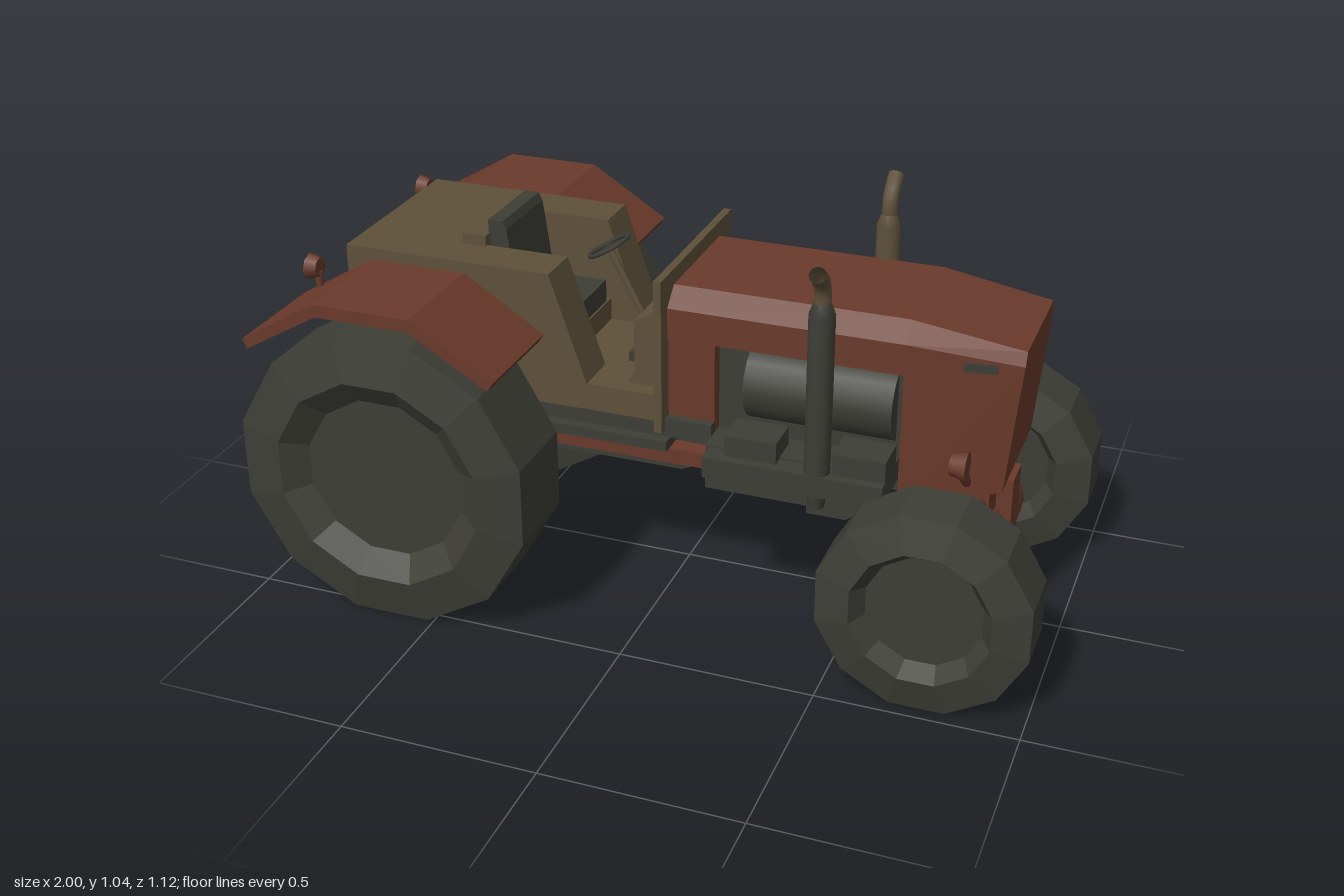
import * as THREE from 'three';

const red = new THREE.MeshStandardMaterial({ color: 0x6a3a2b });
const tan = new THREE.MeshStandardMaterial({ color: 0x5e513a });
const dark = new THREE.MeshStandardMaterial({ color: 0x3d3e36 });
red.name = 'rust red paint'; tan.name = 'olive tan paint'; dark.name = 'dark rubber and iron';
for (const m of [red, tan, dark]) m.side = THREE.DoubleSide;

export function createModel() {
  const root = new THREE.Group();
  root.name = 'tractor';

  const add = (name, geo, mat, x = 0, y = 0, z = 0) => {
    const m = new THREE.Mesh(geo, mat);
    m.name = name;
    m.position.set(x, y, z);
    root.add(m);
    return m;
  };
  const flat = (g) => {
    const n = g.index ? g.toNonIndexed() : g;
    n.computeVertexNormals();
    return n;
  };
  // Box given by its limits on each axis
  const box = (name, mat, [x0, x1], [y0, y1], [z0, z1]) =>
    add(name, new THREE.BoxGeometry(x1 - x0, y1 - y0, z1 - z0), mat, (x0 + x1) / 2, (y0 + y1) / 2, (z0 + z1) / 2);
  // Side profile in x, y extruded from z0 to z1
  const slab = (name, mat, pts, z0, z1) => {
    const shape = new THREE.Shape(pts.map(([x, y]) => new THREE.Vector2(x, y)));
    return add(name, new THREE.ExtrudeGeometry(shape, { depth: z1 - z0, bevelEnabled: false }), mat, 0, 0, z0);
  };
  // Cylinder between two points
  const rod = (name, mat, a, b, r0, r1 = r0, seg = 16) => {
    const p = new THREE.Vector3(...a), q = new THREE.Vector3(...b);
    const m = add(name, new THREE.CylinderGeometry(r1, r0, p.distanceTo(q), seg), mat);
    m.position.copy(p).add(q).multiplyScalar(0.5);
    m.quaternion.setFromUnitVectors(new THREE.Vector3(0, 1, 0), q.sub(p).normalize());
    return m;
  };
  // Shell through cross-sections along x
  const loft = (name, mat, sections) => {
    const n = sections[0].ring.length, pos = [], idx = [];
    for (const s of sections) s.ring.forEach(([z, y, dx = 0]) => pos.push(s.x + dx, y, z));
    for (let k = 0; k < sections.length - 1; k++) {
      for (let i = 0; i < n; i++) {
        const a = k * n + i, b = k * n + (i + 1) % n;
        idx.push(a, b, a + n, b, b + n, a + n);
      }
    }
    const last = (sections.length - 1) * n;
    for (let i = 1; i < n - 1; i++) idx.push(0, i + 1, i, last, last + i, last + i + 1);
    const g = new THREE.BufferGeometry();
    g.setAttribute('position', new THREE.Float32BufferAttribute(pos, 3));
    g.setIndex(idx);
    return add(name, flat(g), mat);
  };
  const hoodRing = (ws, ys, wt, yt, yb, dx = 0) =>
    [[-ws, yb, dx], [-ws, ys], [-wt, yt], [wt, yt], [ws, ys], [ws, yb, dx]];

  // Twelve-sided wheels with recessed discs on both faces
  const wheel = (name, x, y, z, R, w, tread, lip, disc) => {
    const half = [[lip, w], [disc, w - 0.045], [0, w - 0.045]];
    const pts = [...half.map(([r, h]) => [r, -h]).reverse(), [R, -tread], [R, tread], ...half];
    const g = new THREE.LatheGeometry(pts.map(([r, h]) => new THREE.Vector2(r, h)), 12);
    g.rotateY(Math.PI / 12).rotateX(Math.PI / 2);
    add(name, flat(g), dark, x, y, z);
  };
  for (const s of [1, -1]) {
    wheel('rearWheel', -0.62, 0.383, s * 0.421, 0.396, 0.134, 0.11, 0.28, 0.215);
    wheel('frontWheel', 0.742, 0.257, s * 0.388, 0.266, 0.098, 0.075, 0.175, 0.145);
  }

  // Cab body: two side pods, a lower middle and a backrest block
  for (const [a, b] of [[0.13, 0.25], [-0.25, -0.13]]) {
    slab('cabSide', tan, [[-0.83, 0.52], [-0.18, 0.53], [-0.18, 0.6], [-0.275, 0.88], [-0.83, 0.88]], a, b);
  }
  slab('cabMiddle', tan, [[-0.83, 0.52], [-0.18, 0.53], [-0.18, 0.6], [-0.27, 0.6], [-0.27, 0.66],
    [-0.5, 0.66], [-0.5, 0.88], [-0.83, 0.88]], -0.13, 0.13);
  box('seatFrame', tan, [-0.56, -0.495], [0.87, 0.907], [-0.14, 0.14]);
  box('seatCushion', dark, [-0.5, -0.275], [0.66, 0.72], [-0.11, 0.11]);
  slab('seatBack', dark, [[-0.5, 0.7], [-0.42, 0.7], [-0.45, 0.92], [-0.46, 0.94], [-0.5, 0.94]], -0.11, 0.11);

  // Floor, dash and firewall
  box('floor', tan, [-0.25, 0.02], [0.53, 0.6], [-0.25, 0.25]);
  slab('dash', tan, [[-0.09, 0.6], [0, 0.6], [0, 0.81], [-0.07, 0.77], [-0.07, 0.63]], -0.205, 0.205);
  box('firewall', tan, [0, 0.02], [0.5, 0.905], [-0.255, 0.255]);

  // Steering wheel, column and pedals
  rod('steeringColumn', tan, [-0.085, 0.61, 0], [-0.218, 0.865, 0], 0.009, 0.009, 8);
  const steering = new THREE.Group();
  steering.name = 'steeringWheel';
  steering.position.set(-0.218, 0.867, 0);
  steering.rotation.z = 0.52;
  const rim = new THREE.Mesh(new THREE.TorusGeometry(0.056, 0.006, 6, 20).rotateX(Math.PI / 2), dark);
  rim.name = 'steeringRim';
  steering.add(rim);
  for (let i = 0; i < 3; i++) {
    const spoke = new THREE.Mesh(new THREE.BoxGeometry(0.055, 0.006, 0.009).translate(0.028, 0, 0), dark);
    spoke.name = 'steeringSpoke';
    spoke.rotation.y = i * Math.PI * 2 / 3;
    steering.add(spoke);
  }
  root.add(steering);
  for (const z of [-0.08, 0.075, 0.115]) {
    box('pedal', dark, [-0.115, -0.08], [0.62, 0.645], [z - 0.015, z + 0.015]);
  }

  // Bonnet, tapered nose and red side panels
  loft('bonnet', red, [
    { x: 0.02, ring: hoodRing(0.212, 0.82, 0.165, 0.865, 0.74) },
    { x: 0.61, ring: hoodRing(0.212, 0.82, 0.165, 0.865, 0.74) }]);
  loft('nose', red, [
    { x: 0.61, ring: hoodRing(0.212, 0.82, 0.165, 0.865, 0.375) },
    { x: 0.885, ring: hoodRing(0.172, 0.79, 0.155, 0.822, 0.455, -0.03) }]);
  box('bonnetRearPanel', red, [0.02, 0.14], [0.49, 0.745], [-0.205, 0.205]);

  // Engine
  box('engineBlock', dark, [0.14, 0.61], [0.45, 0.74], [-0.17, 0.17]);
  for (const s of [1, -1]) {
    rod('engineTank', dark, [0.22, 0.635, s * 0.13], [0.59, 0.635, s * 0.13], 0.1);
    const [a, b] = s > 0 ? [0.1, 0.33] : [-0.33, -0.1];
    slab('engineTray', dark, [[0.14, 0.38], [0.4, 0.38], [0.4, 0.36], [0.5, 0.36], [0.6, 0.44], [0.6, 0.5], [0.14, 0.5]],
      s > 0 ? a : -0.27, s > 0 ? 0.27 : b + 0);
    box('trayShelf', dark, [0.15, 0.6], [0.44, 0.495], s > 0 ? [0.25, 0.325] : [-0.325, -0.25]);
    for (const x of [0.2, 0.47]) {
      box('trayBox', dark, [x, x + 0.13], [0.49, 0.55], s > 0 ? [0.2, 0.3] : [-0.3, -0.2]);
    }

    // Exhaust stack: dark outer half, tan inner half, bent pipe on top
    const stack = [[0.02, 0.4], [0.032, 0.48], [0.032, 0.905], [0.021, 0.935]].map(([r, y]) => new THREE.Vector2(r, y));
    const out = s > 0 ? -Math.PI / 2 : Math.PI / 2;
    add('exhaustOuter', new THREE.LatheGeometry(stack, 8, out, Math.PI), dark, 0.432, 0, s * 0.295);
    add('exhaustInner', new THREE.LatheGeometry(stack, 8, out + Math.PI, Math.PI), tan, 0.432, 0, s * 0.295);
    const bend = new THREE.CatmullRomCurve3([[0.92, 0.295], [0.965, 0.297], [0.995, 0.312], [1.022, 0.345]]
      .map(([y, z]) => new THREE.Vector3(0.432, y, s * z)));
    add('exhaustTip', new THREE.TubeGeometry(bend, 8, 0.021, 10), tan);

    // Bonnet side vent
    const vent = add('noseVent', new THREE.BoxGeometry(0.08, 0.022, 0.006), dark, 0.785, 0.778, s * 0.188);
    vent.rotation.y = s * 0.143;

    // Front lamps on brackets
    rod('frontLampBracket', red, [0.77, 0.47, s * 0.18], [0.77, 0.56, s * 0.275], 0.012, 0.016, 8);
    rod('frontLamp', red, [0.75, 0.57, s * 0.285], [0.79, 0.57, s * 0.285], 0.026, 0.037, 8);

    // Rear mudguards and lamps
    const [f0, f1] = s > 0 ? [0.265, 0.562] : [-0.562, -0.265];
    slab('mudguard', red, [[-0.955, 0.735], [-0.75, 0.857], [-0.495, 0.857], [-0.285, 0.725], [-0.297, 0.705],
      [-0.5, 0.825], [-0.745, 0.825], [-0.943, 0.71]], f0, f1);
    rod('rearLampPost', red, [-0.885, 0.76, s * 0.3], [-0.885, 0.82, s * 0.3], 0.01, 0.01, 8);
    rod('rearLamp', red, [-0.91, 0.83, s * 0.3], [-0.88, 0.83, s * 0.3], 0.034, 0.026, 8);

    // Side rail and step
    box('sideRail', red, [-0.45, 0.28], [0.39, 0.43], s > 0 ? [0.15, 0.2] : [-0.2, -0.15]);
    box('step', dark, [-0.3, 0.03], [0.448, 0.475], s > 0 ? [0.13, 0.25] : [-0.25, -0.13]);
  }

  // Chassis
  box('underFloor', dark, [-0.6, 0.14], [0.48, 0.53], [-0.23, 0.23]);
  slab('chassisBeam', dark, [[-0.6, 0.33], [0.02, 0.33], [0.14, 0.38], [0.65, 0.38], [0.65, 0.5], [-0.6, 0.5]], -0.12, 0.12);

  // Rear axle, gearbox and rear casing
  rod('rearAxle', red, [-0.62, 0.383, -0.34], [-0.62, 0.383, 0.34], 0.085);
  box('gearbox', red, [-0.84, -0.42], [0.25, 0.52], [-0.15, 0.15]);
  slab('rearCasing', red, [[-0.82, 0.14], [-0.94, 0.14], [-0.94, 0.45], [-0.83, 0.6], [-0.8, 0.6]], -0.24, 0.24);

  // Front axle, its housing and the towing tongue
  rod('frontAxle', red, [0.742, 0.26, -0.33], [0.742, 0.26, 0.33], 0.06);
  rod('steeringTube', red, [0.77, 0.385, -0.28], [0.77, 0.385, 0.28], 0.045);
  rod('axleHousing', red, [0.742, 0.26, -0.153], [0.742, 0.26, 0.153], 0.115);
  box('axleMount', red, [0.66, 0.82], [0.27, 0.44], [-0.14, 0.14]);
  slab('noseTongue', red, [[0.8, 0.23], [0.86, 0.25], [0.86, 0.42], [0.8, 0.42]], -0.047, 0.047);

  return root;
}
